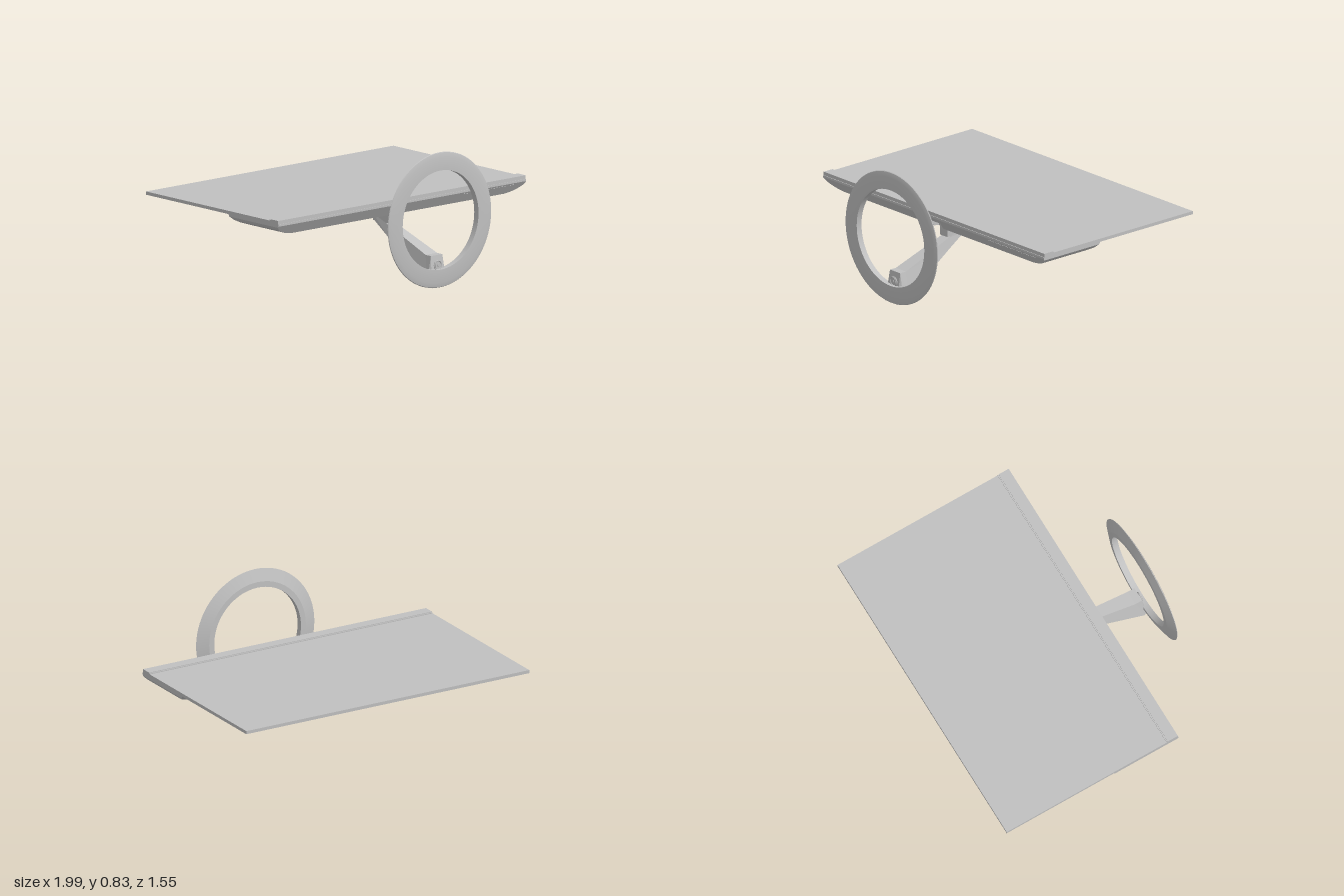
import * as THREE from 'three';
import { toCreasedNormals } from 'three/addons/utils/BufferGeometryUtils.js';

// Closed solid through matching cross-sections, each counter-clockwise seen from the last one
function loft(rings) {
  const out = [];
  const tri = (...pts) => pts.forEach((p) => out.push(p[0], p[1], p[2]));
  const n = rings[0].length;
  for (let i = 0; i < rings.length - 1; i++) {
    const r = rings[i], s = rings[i + 1];
    for (let j = 0; j < n; j++) {
      const k = (j + 1) % n;
      tri(r[j], r[k], s[k]);
      tri(r[j], s[k], s[j]);
    }
  }
  const first = rings[0], last = rings[rings.length - 1];
  for (let j = 1; j < n - 1; j++) {
    tri(first[0], first[j + 1], first[j]);
    tri(last[0], last[j], last[j + 1]);
  }
  const geo = new THREE.BufferGeometry();
  geo.setAttribute('position', new THREE.Float32BufferAttribute(out, 3));
  geo.computeVertexNormals();
  return geo;
}

// Cross-section of the rear housing at x; d is its relative depth
function housingSection(x, d, notch) {
  const front = (t) => [x, 0.465 - 0.065 * d * t, 0.427 - 0.042 * d * t];
  const pts = [[x, 0.478, 0.427], front(0), front(0.4)];
  const start = notch ? 0.345 : 0.427 - 0.042 * d;
  const end = -0.03 + 0.09 * d;
  const low = 0.465 - 0.065 * d;
  pts.push(notch ? [x, 0.44, 0.345] : front(0.45));
  const bulge = 0.018 * Math.max(0, 1 - (x / 0.86) ** 2);
  for (let i = 0; i <= 6; i++) {
    const z = THREE.MathUtils.lerp(start, end, i / 6);
    const u = (z - 0.2225) / 0.1625;
    pts.push([x, low - bulge * Math.max(0, 1 - u * u), z]);
  }
  pts.push([x, 0.472, -0.03]);
  return pts;
}

export function createModel() {
  const group = new THREE.Group();
  const grey = new THREE.MeshStandardMaterial({ color: 0xc0c0c0 });
  grey.name = 'light grey';

  const add = (name, geo, x = 0, y = 0, z = 0) => {
    const mesh = new THREE.Mesh(geo, grey);
    mesh.name = name;
    mesh.position.set(x, y, z);
    group.add(mesh);
    return mesh;
  };
  const box = (name, w, h, d, x, y, z) => add(name, new THREE.BoxGeometry(w, h, d), x, y, z);

  // Flat panel with a raised chin bar along its front edge
  box('screenPanel', 1.99, 0.02, 1.195, 0, 0.481, -0.1775);
  box('chinBar', 1.99, 0.023, 0.07, 0, 0.4885, 0.388);
  box('chinLip', 1.99, 0.006, 0.01, 0, 0.493, 0.35);

  // Housing under the panel, tapered at both ends and notched for the stand
  const ends = [[0.995, 0.12], [0.98, 0.4], [0.95, 0.65], [0.91, 0.86], [0.86, 1], [0.55, 1], [0.25, 1]];
  const sections = ends.map(([x, d]) => housingSection(-x, d, false));
  sections.push(housingSection(-0.042, 1, false), housingSection(-0.042, 1, true));
  sections.push(housingSection(0.042, 1, true), housingSection(0.042, 1, false));
  ends.slice().reverse().forEach(([x, d]) => sections.push(housingSection(x, d, false)));
  add('rearHousing', toCreasedNormals(loft(sections), 0.35));

  // Connector plate with sockets on the underside
  const frame = new THREE.Shape();
  frame.moveTo(-0.27, -0.06).lineTo(0.27, -0.06).lineTo(0.27, 0.06).lineTo(-0.27, 0.06).closePath();
  const hole = new THREE.Path();
  hole.moveTo(-0.26, -0.05).lineTo(-0.26, 0.05).lineTo(0.26, 0.05).lineTo(0.26, -0.05).closePath();
  frame.holes.push(hole);
  const frameGeo = new THREE.ExtrudeGeometry(frame, { depth: 0.006, bevelEnabled: false });
  add('connectorFrame', frameGeo.rotateX(Math.PI / 2), -0.45, 0.391, 0.2);
  [[-0.27, 0.04], [-0.42, 0.08], [-0.6, 0.04]].forEach(([x, w]) => {
    box('socket', w, 0.008, 0.025, x, 0.387, 0.2);
  });

  // Control buttons on the front of the chin
  for (let i = 0; i < 7; i++) {
    const button = box('controlButton', 0.045, 0.01, 0.005, 0.51 + i * 0.063, 0.452, 0.418);
    button.rotation.x = 0.57;
  }

  // Upright ring base with a sloping back rim
  const profile = [[0.305, 0.735], [0.34, 0.736], [0.416, 0.763], [0.413, 0.767], [0.385, 0.774],
    [0.305, 0.774], [0.305, 0.735]].map(([r, z]) => new THREE.Vector2(r, z));
  const ring = new THREE.LatheGeometry(profile, 72).rotateX(Math.PI / 2);
  add('ringBase', toCreasedNormals(ring, 0.25), 0, 0.421, 0);

  // Tapered stand arm: z, top y, bottom y, top half width, bottom half width
  const arm = [
    [0.764, 0.014, 0.008, 0.05, 0.06],
    [0.737, 0.2, 0.022, 0.046, 0.08],
    [0.69, 0.2, 0.05, 0.046, 0.076],
    [0.345, 0.325, 0.258, 0.033, 0.045],
    [0.2, 0.375, 0.345, 0.033, 0.035],
  ];
  add('standArm', loft(arm.map(([z, t, b, wt, wb]) =>
    [[wt, t, z], [wb, b, z], [-wb, b, z], [-wt, t, z]])));
  box('standHinge', 0.066, 0.1, 0.145, 0, 0.385, 0.2725);

  // Fixing screw in the foot of the arm
  const disc = new THREE.CylinderGeometry(0.022, 0.022, 0.012, 24).rotateX(Math.PI / 2);
  add('screwHead', disc, 0, 0.14, 0.746);
  add('screwCollar', new THREE.TorusGeometry(0.028, 0.004, 8, 32), 0, 0.14, 0.749);
  const slot = new THREE.CylinderGeometry(0.01, 0.01, 0.006, 6).rotateX(Math.PI / 2);
  add('screwCentre', slot, 0, 0.14, 0.753);

  return group;
}
